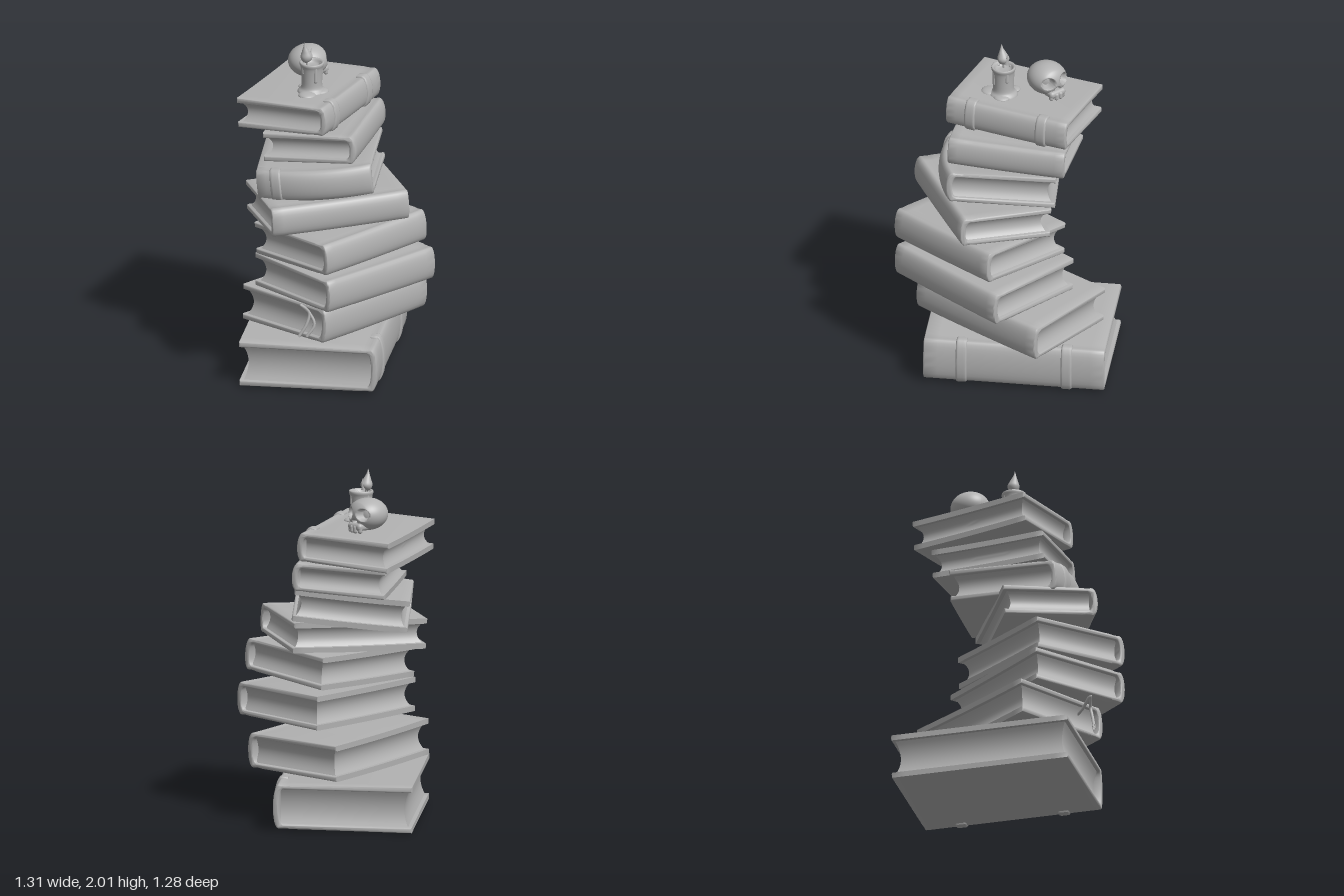
import * as THREE from 'three';
import { toCreasedNormals } from 'three/addons/utils/BufferGeometryUtils.js';
import { RoundedBoxGeometry } from 'three/addons/geometries/RoundedBoxGeometry.js';

const clay = new THREE.MeshStandardMaterial({ color: 0xb2b2b2, side: THREE.DoubleSide });
clay.name = 'grey clay';

function add(parent, name, geometry, x = 0, y = 0, z = 0) {
  const mesh = new THREE.Mesh(geometry, clay);
  mesh.name = name;
  mesh.position.set(x, y, z);
  parent.add(mesh);
  return mesh;
}

// Bend a book part: sag lifts both ends, bow pushes the middle of the spine out
function bend(g, length, sag, bow) {
  const p = g.attributes.position;
  for (let i = 0; i < p.count; i++) {
    const u = p.getX(i) / length, z = p.getZ(i);
    p.setY(i, p.getY(i) + sag * (4 * u * u - 0.5));
    p.setZ(i, z + bow * (1 - 4 * u * u) * Math.max(0, z) / 0.3);
  }
  return toCreasedNormals(g, 0.8);
}

// Sweep a (z, y) profile along local x with softened ends
function sweep(shape, length, bevel) {
  const g = new THREE.ExtrudeGeometry(shape, {
    depth: length - 2 * bevel, steps: 14, curveSegments: 12,
    bevelThickness: bevel, bevelSize: bevel, bevelOffset: -bevel, bevelSegments: 3,
  });
  g.translate(0, 0, -(length - 2 * bevel) / 2);
  return g.rotateY(-Math.PI / 2);
}

// C-shaped hard cover with soft hinge grooves and a rounded spine at +z
function coverShape(w, h, t) {
  const s = new THREE.Shape();
  s.moveTo(-w, h + 0.004);
  s.lineTo(w - 0.1, h);
  s.quadraticCurveTo(w - 0.065, h - 0.005, w - 0.035, h);
  s.bezierCurveTo(w + 0.011, h, w + 0.011, -h, w - 0.035, -h);
  s.quadraticCurveTo(w - 0.065, -h + 0.005, w - 0.1, -h);
  s.lineTo(-w, -h - 0.004);
  s.lineTo(-w, -h + t);
  s.lineTo(w - 0.06, -h + t);
  s.bezierCurveTo(w - t, -h + t, w - t, h - t, w - 0.06, h - t);
  s.lineTo(-w, h - t);
  s.closePath();
  return s;
}

// Page block, dished on the fore-edge and both ends
function pageBlock(len, w, h, t) {
  const a = h - t + 0.003, half = len / 2 - 0.02;
  const g = new THREE.BoxGeometry(2 * half, 2 * a, 2, 14, 10, 6);
  const p = g.attributes.position;
  for (let i = 0; i < p.count; i++) {
    const dish = 0.026 * (1 - (p.getY(i) / a) ** 2);
    p.setX(i, p.getX(i) * (1 - dish / half));
    const k = (p.getZ(i) + 1) / 2;
    p.setZ(i, THREE.MathUtils.lerp(-w + 0.022 + dish, w - 0.045, k));
  }
  return g;
}

// Raised strap wrapped round the spine, with short tabs on both covers
function bandShape(w, h) {
  const s = new THREE.Shape();
  const o = 0.01, b = w + 0.025;
  s.moveTo(w - 0.075, h - 0.01);
  s.lineTo(w - 0.07, h + o * 0.6);
  s.lineTo(w - 0.035, h + o);
  s.bezierCurveTo(b, h + o, b, -h - o, w - 0.035, -h - o);
  s.lineTo(w - 0.07, -h - o * 0.6);
  s.lineTo(w - 0.075, -h + 0.01);
  s.closePath();
  return s;
}

function makeBook(name, [x, y, z, len, width, height, yaw, rx, rz, sag, bands = [], bow = 0]) {
  const book = new THREE.Group();
  book.name = name;
  const w = width / 2, h = height / 2, t = 0.028;
  add(book, 'cover', bend(sweep(coverShape(w, h, t), len, 0.01), len, sag, bow));
  add(book, 'pages', bend(pageBlock(len, w, h, t), len, sag, bow));
  for (const u of bands) {
    const band = sweep(bandShape(w, h), 0.065, 0.012).translate(u * len, 0, 0);
    add(book, 'spineBand', bend(band, len, sag, bow));
  }
  book.position.set(x, y, z);
  book.rotation.set(rx, yaw, rz, 'YXZ');
  return book;
}

function makeCandle() {
  const candle = new THREE.Group();
  candle.name = 'candle';
  const profile = [[0, 0.155], [0.04, 0.158], [0.056, 0.178], [0.068, 0.182], [0.071, 0.17],
    [0.064, 0.145], [0.06, 0.08], [0.062, 0.03], [0.08, 0.008], [0.085, -0.01]];
  const body = new THREE.LatheGeometry(
    new THREE.SplineCurve(profile.map(([r, h]) => new THREE.Vector2(r, h))).getPoints(36).reverse(), 32);
  add(candle, 'waxBody', body);
  // Spilled wax and runs down the side
  for (const [px, pz, r] of [[-0.07, 0.04, 0.052], [0.01, -0.075, 0.036], [0.03, 0.04, 0.05]]) {
    add(candle, 'waxPuddle', new THREE.SphereGeometry(r, 24, 12), px, 0.004, pz).scale.y = 0.35;
  }
  for (const [a, len, top] of [[0.4, 0.05, 0.16], [1.9, 0.08, 0.16], [3.3, 0.04, 0.165], [4.8, 0.07, 0.16]]) {
    add(candle, 'waxDrip', new THREE.CapsuleGeometry(0.012, len, 6, 12),
      Math.cos(a) * 0.056, top - len / 2, Math.sin(a) * 0.056);
  }
  // Flame with a curled side lick
  const flame = new THREE.Group();
  flame.name = 'flame';
  const pts = [[0.001, 0], [0.024, 0.014], [0.035, 0.04], [0.024, 0.07], [0.01, 0.1], [0.001, 0.13]];
  const g = new THREE.LatheGeometry(
    new THREE.SplineCurve(pts.map(([r, h]) => new THREE.Vector2(r, h))).getPoints(24), 20);
  const p = g.attributes.position;
  for (let i = 0; i < p.count; i++) p.setX(i, p.getX(i) + 0.007 * Math.sin(p.getY(i) * 40));
  g.computeVertexNormals();
  add(flame, 'flameBody', g);
  add(flame, 'flameLick', new THREE.ConeGeometry(0.013, 0.07, 12), 0.037, 0.048, 0).rotation.z = -0.15;
  add(flame, 'wick', new THREE.CylinderGeometry(0.006, 0.006, 0.05, 8), 0.01, -0.01, 0);
  flame.position.set(-0.03, 0.175, -0.02);
  candle.add(flame);
  candle.position.set(-0.118, 1.697, 0.035);
  return candle;
}

function makeSkull() {
  const skull = new THREE.Group();
  skull.name = 'skull';
  // Cranium facing +x: flattened face, with eye and nose hollows pressed in
  const g = new THREE.SphereGeometry(1, 96, 64);
  const hollows = [[0.8, 0.1, 0.5, 0.4, 0.06], [0.8, 0.1, -0.5, 0.4, 0.06], [0.9, -0.36, 0, 0.16, 0.04]]
    .map(([x, y, z, r, d]) => ({ dir: new THREE.Vector3(x, y, z).normalize(), r, d }));
  const p = g.attributes.position, v = new THREE.Vector3();
  for (let i = 0; i < p.count; i++) {
    v.fromBufferAttribute(p, i);
    let press = 0;
    for (const { dir, r, d } of hollows) {
      press += d * (1 - THREE.MathUtils.smoothstep(v.angleTo(dir), r * 0.75, r));
    }
    const x = v.x > 0.6 ? 0.6 + (v.x - 0.6) * 0.7 : v.x;
    p.setXYZ(i, x * 0.12 - press * 0.8, v.y * 0.093, v.z * (0.112 - press * 0.5));
  }
  g.computeVertexNormals();
  add(skull, 'cranium', g);
  // Upper jaw and teeth
  add(skull, 'jaw', new RoundedBoxGeometry(0.09, 0.044, 0.112, 4, 0.02), 0.068, -0.064, 0);
  for (let i = 0; i < 4; i++) {
    const k = i - 1.5;
    add(skull, 'tooth', new THREE.CapsuleGeometry(0.0135, 0.02, 4, 12), 0.108 - 0.006 * k * k, -0.077, k * 0.028);
  }
  skull.position.set(0.03, 1.788, -0.168);
  skull.rotation.y = -0.08;
  return skull;
}

export function createModel() {
  const model = new THREE.Group();
  model.name = 'bookStack';
  // x, y, z, length, width, height, yaw, pitch, roll, sag, band places, spine bow
  const books = [
    [0, 0.138, 0, 1.05, 0.805, 0.26, 0.69, -0.012, -0.01, 0, [-0.29, 0.29]],
    [0.005, 0.406, 0.097, 0.88, 0.645, 0.205, 0.13, -0.02, -0.04, 0.005],
    [-0.052, 0.655, 0.253, 0.82, 0.645, 0.193, 0.02, -0.02, -0.008, 0.003],
    [-0.085, 0.88, 0.255, 0.77, 0.63, 0.185, 0.01, -0.07, 0.025, 0.003],
    [-0.13, 1.067, 0.19, 0.82, 0.555, 0.172, -0.43, -0.06, 0.03, 0.004],
    [-0.08, 1.237, 0.065, 0.67, 0.63, 0.18, -0.82, -0.03, 0.1, 0.004, [-0.33], 0.06],
    [-0.02, 1.43, 0.033, 0.685, 0.55, 0.165, 0.6, -0.06, -0.03, 0.004],
    [-0.053, 1.607, -0.065, 0.745, 0.565, 0.17, 0.42, -0.06, -0.025, 0.004, [-0.3, 0.29]],
  ];
  books.forEach((b, i) => model.add(makeBook('book' + (i + 1), b)));

  // Ribbon bookmark hanging from the second book
  for (const [dx, dz] of [[0, 0], [0.035, 0.03]]) {
    const path = new THREE.CatmullRomCurve3([
      [-0.33, 0.44, 0.3], [-0.4, 0.49, 0.32], [-0.46, 0.55, 0.33], [-0.42, 0.5, 0.36],
      [-0.44 + dx, 0.43, 0.36 + dz], [-0.48 + dx, 0.36, 0.34 + dz],
    ].map((q) => new THREE.Vector3(...q)));
    add(model, 'ribbon', new THREE.TubeGeometry(path, 32, 0.009, 8));
  }

  model.add(makeCandle(), makeSkull());
  return model;
}
